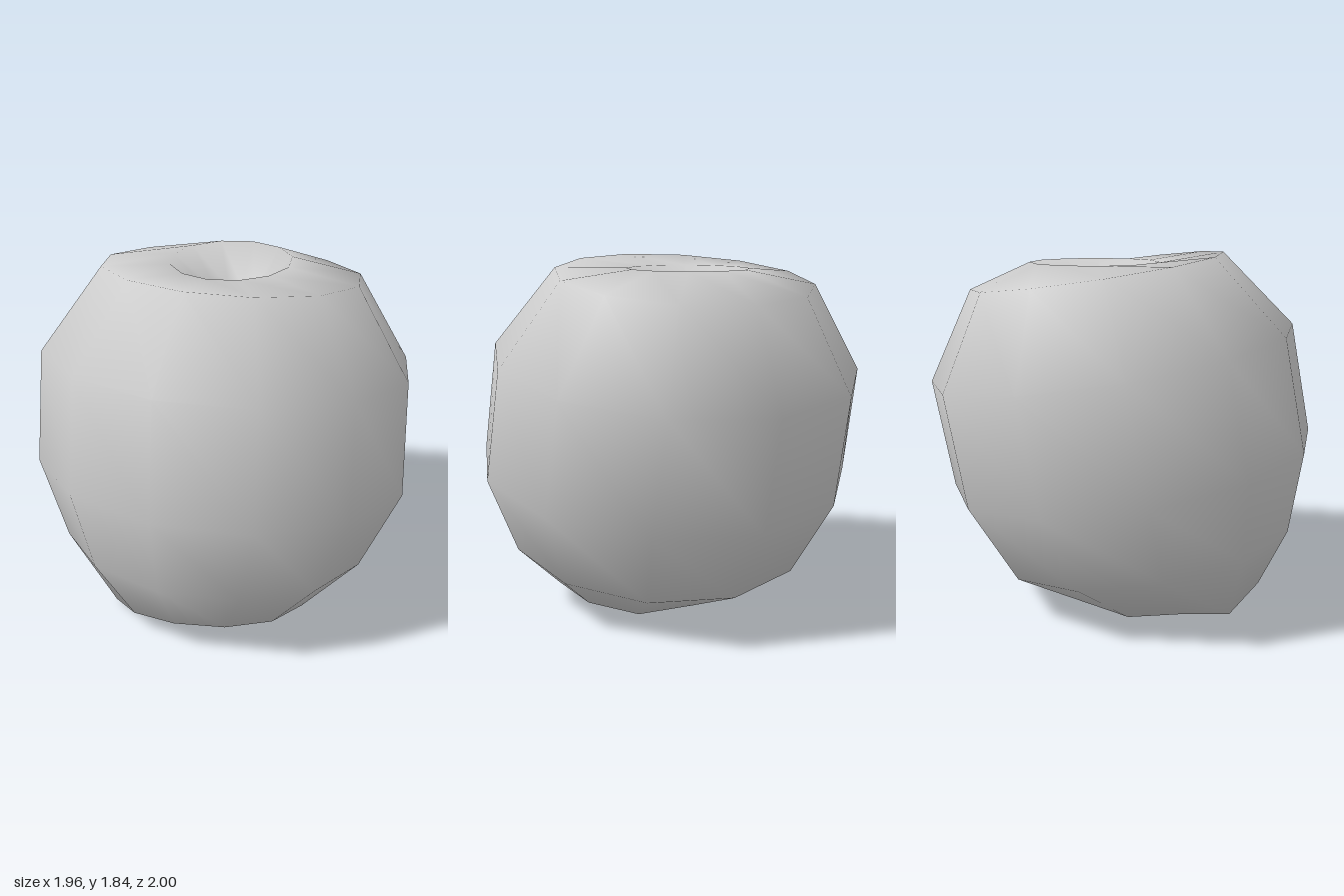
import * as THREE from 'three';

const SIDES = 12;
const TWIST = 0.06;

// Tilted rings from the stem hollow to the base hollow:
// [front z, front y, back z, back y, half width in x, x offset]
const RINGS = [
  [0.00, 1.62, -0.28, 1.60, 0.14, -0.03],
  [0.19, 1.79, -0.47, 1.79, 0.31, -0.04],
  [0.52, 1.84, -0.78, 1.65, 0.67, -0.03],
  [0.89, 1.47, -1.00, 1.17, 0.96, -0.02],
  [1.00, 0.90, -0.90, 0.60, 0.985, 0],
  [0.93, 0.47, -0.65, 0.20, 0.81, 0],
  [0.78, 0.17, -0.26, 0.02, 0.53, 0.02],
  [0.50, 0.14, 0.02, 0.10, 0.25, 0],
];
const STEM_HOLLOW = [-0.03, 1.52, -0.15];
const BASE_HOLLOW = [-0.03, 0.15, 0.23];

// Uneven heights of the lobes the apple stands on, from the front round the left
const BASE_RING = 6;
const LOBES = [0.17, 0.17, 0.13, 0.07, 0.03, 0, 0.02, 0.05, 0.03, 0.07, 0.03, 0.12];

function appleGeometry() {
  const positions = [];
  const index = [];
  RINGS.forEach(([fz, fy, bz, by, rx, ox], i) => {
    for (let j = 0; j < SIDES; j++) {
      const even = (j / SIDES) * Math.PI * 2;
      const a = even + TWIST * (1 - Math.sin(even)); // turned most on the right
      const t = (1 + Math.cos(a)) / 2; // 1 at the front, 0 at the back
      const y = i === BASE_RING ? LOBES[j] : THREE.MathUtils.lerp(by, fy, t);
      positions.push(ox + rx * Math.sin(a), y, THREE.MathUtils.lerp(bz, fz, t));
    }
  });
  const top = positions.length / 3;
  positions.push(...STEM_HOLLOW, ...BASE_HOLLOW);

  // skin between rings, closed by a fan in each hollow
  const last = (RINGS.length - 1) * SIDES;
  for (let j = 0; j < SIDES; j++) {
    const k = (j + 1) % SIDES;
    index.push(top, j, k);
    for (let row = 0; row < last; row += SIDES) {
      const a = row + j, b = a + SIDES, d = row + k, c = d + SIDES;
      index.push(a, b, c, a, c, d);
    }
    index.push(last + j, top + 1, last + k);
  }

  const geometry = new THREE.BufferGeometry();
  geometry.setAttribute('position', new THREE.Float32BufferAttribute(positions, 3));
  geometry.setIndex(index);
  geometry.computeVertexNormals();
  return geometry;
}

export function createModel() {
  const group = new THREE.Group();
  group.name = 'apple';
  const fruit = new THREE.Mesh(appleGeometry(), new THREE.MeshStandardMaterial({ color: 0xcccccc }));
  fruit.name = 'fruit';
  group.add(fruit);
  return group;
}
